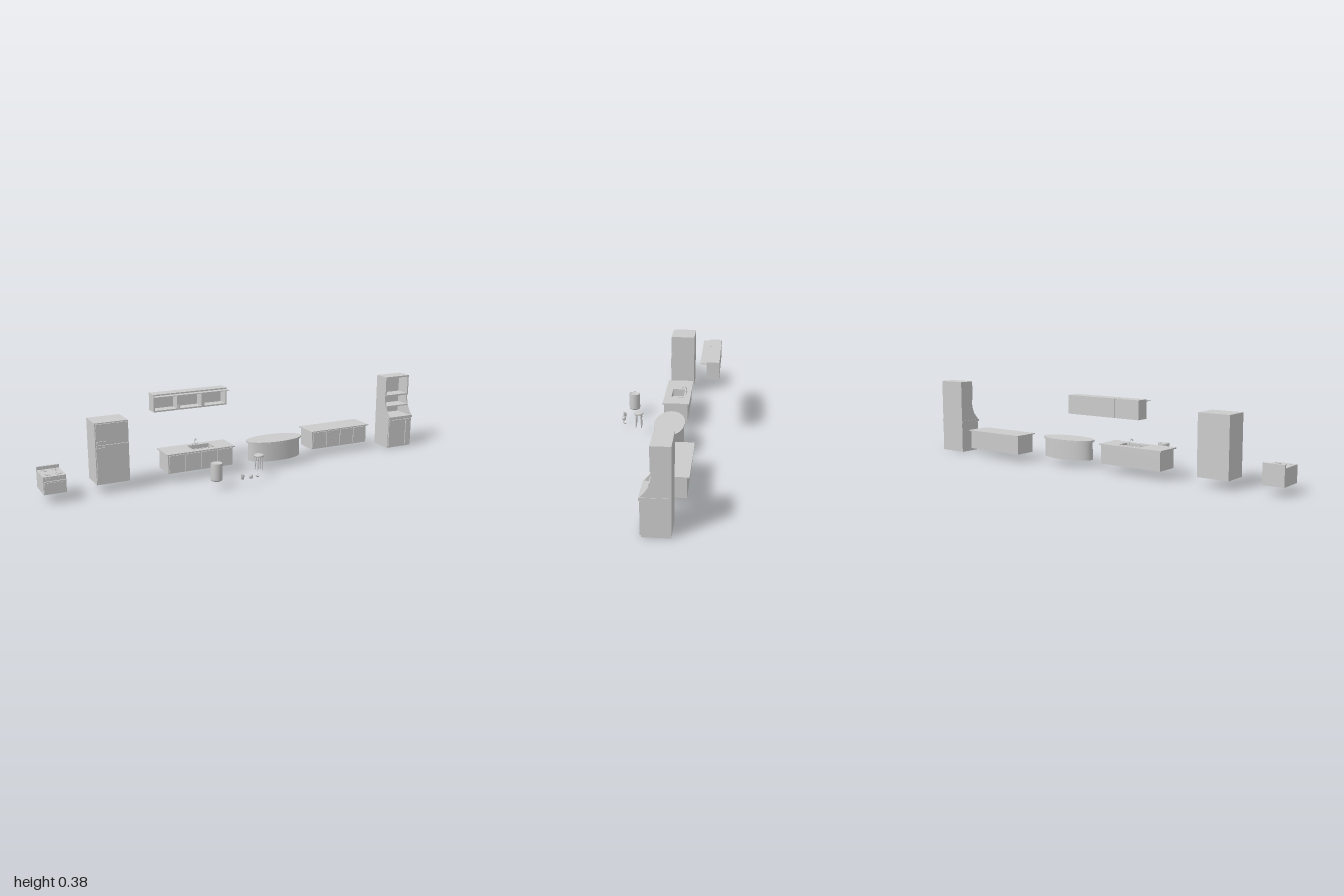
import * as THREE from 'three';

const mat = new THREE.MeshStandardMaterial({ color: 0xcccccc, side: THREE.DoubleSide });

function add(parent, name, geo, x = 0, y = 0, z = 0) {
  const m = new THREE.Mesh(geo, mat);
  m.name = name;
  m.position.set(x, y, z);
  parent.add(m);
  return m;
}
// Box given by its minimum and maximum on each axis
function box(parent, name, x0, x1, y0, y1, z0, z1) {
  return add(parent, name, new THREE.BoxGeometry(x1 - x0, y1 - y0, z1 - z0),
    (x0 + x1) / 2, (y0 + y1) / 2, (z0 + z1) / 2);
}
const cyl = (r0, r1, h, n = 24) => new THREE.CylinderGeometry(r0, r1, h, n);
const lathe = (pts, n = 24) => new THREE.LatheGeometry(pts.map(p => new THREE.Vector2(...p)), n);
function section(parent, name) {
  const g = new THREE.Group();
  g.name = name;
  parent.add(g);
  return g;
}
// Horizontal slab with a rectangular hole
function slabWithHole(parent, name, o, y0, y1, h) {
  const corners = ([x0, x1, z0, z1]) => [[x0, -z1], [x1, -z1], [x1, -z0], [x0, -z0]].map(p => new THREE.Vector2(...p));
  const s = new THREE.Shape(corners(o));
  s.holes.push(new THREE.Path(corners(h).reverse()));
  const geo = new THREE.ExtrudeGeometry(s, { depth: y1 - y0, bevelEnabled: false });
  geo.rotateX(-Math.PI / 2);
  return add(parent, name, geo, 0, y0, 0);
}
// Row of doors, each with a small round knob
function doorRow(parent, x0, x1, y0, y1, z, n) {
  const w = (x1 - x0) / n;
  for (let i = 0; i < n; i++) {
    const a = x0 + i * w + 0.003, b = a + w - 0.006;
    box(parent, 'cabinetDoor', a, b, y0, y1, z, z + 0.005);
    add(parent, 'doorKnob', new THREE.SphereGeometry(0.002, 10, 8), i % 2 ? a + 0.007 : b - 0.007, y1 - 0.01, z + 0.006);
  }
}

function stove(root) {
  const g = section(root, 'stove');
  box(g, 'stoveBody', -1, -0.9, 0.04, 0.12, -0.065, 0.06);
  box(g, 'backGuard', -1, -0.9, 0.12, 0.135, -0.065, -0.056);
  box(g, 'ovenDoor', -0.997, -0.903, 0.043, 0.1, 0.06, 0.067);
  box(g, 'ovenHandle', -0.985, -0.915, 0.092, 0.095, 0.067, 0.07);
  for (const x of [-0.985, -0.97, -0.93, -0.915])
    add(g, 'stoveKnob', cyl(0.004, 0.004, 0.004, 12).rotateX(Math.PI / 2), x, 0.112, 0.062);
  for (const x of [-0.974, -0.926]) for (const z of [-0.03, 0.03]) {
    add(g, 'burnerRing', new THREE.TorusGeometry(0.012, 0.0015, 6, 20).rotateX(Math.PI / 2), x, 0.1205, z);
    add(g, 'burnerCap', cyl(0.005, 0.006, 0.003, 14), x, 0.121, z);
  }
}

function refrigerator(root) {
  const g = section(root, 'refrigerator');
  box(g, 'refrigeratorBody', -0.757, -0.602, 0.04, 0.324, -0.088, 0.033);
  for (const [y0, y1, yh] of [[0.047, 0.222, 0.208], [0.228, 0.319, 0.237]]) {
    box(g, 'refrigeratorDoor', -0.753, -0.606, y0, y1, 0.033, 0.039);
    box(g, 'refrigeratorHandle', -0.75, -0.71, yh - 0.003, yh + 0.004, 0.039, 0.044);
  }
}

function wallCabinet(root) {
  const g = section(root, 'wallCabinet');
  const w = 0.13, t = 0.007;
  for (let i = 0; i < 3; i++) {
    const a = -0.399 + i * w, b = a + w - 0.001;
    box(g, 'cabinetBack', a, b, 0.289, 0.375, -0.243, -0.237);
    box(g, 'cabinetTop', a, b, 0.368, 0.375, -0.237, -0.181);
    box(g, 'cabinetBottom', a, b, 0.289, 0.296, -0.237, -0.181);
    box(g, 'cabinetSide', a, a + t, 0.296, 0.368, -0.237, -0.181);
    box(g, 'cabinetSide', b - t, b, 0.296, 0.368, -0.237, -0.181);
    // Door raised flat
    box(g, 'raisedDoor', a, b, 0.3655, 0.3685, -0.181, -0.151);
  }
}

function sinkCounter(root) {
  const g = section(root, 'sinkCounter');
  const hole = [-0.278, -0.168, -0.062, 0];
  box(g, 'counterBase', -0.412, -0.08, 0.04, 0.1, -0.088, 0.024);
  slabWithHole(g, 'counterUpper', [-0.412, -0.08, -0.088, 0.024], 0.1, 0.13, hole);
  slabWithHole(g, 'countertop', [-0.42, -0.072, -0.096, 0.036], 0.13, 0.136, hole);
  slabWithHole(g, 'sinkRim', [-0.283, -0.163, -0.067, 0.005], 0.136, 0.1375, hole);
  add(g, 'sinkDrain', cyl(0.006, 0.006, 0.002, 16), -0.223, 0.101, -0.031);
  doorRow(g, -0.41, -0.082, 0.046, 0.126, 0.024, 4);
  const path = new THREE.CatmullRomCurve3([[0.136, -0.072], [0.158, -0.072], [0.168, -0.064], [0.166, -0.052], [0.158, -0.047]]
    .map(([y, z]) => new THREE.Vector3(-0.234, y, z)));
  add(g, 'faucet', new THREE.TubeGeometry(path, 20, 0.002, 8), 0, 0, 0);
  for (const x of [-0.246, -0.222]) add(g, 'tapHandle', cyl(0.002, 0.003, 0.008, 10), x, 0.14, -0.072);
}

function ovalIsland(root) {
  const g = section(root, 'ovalIsland');
  const cx = 0.173, cz = -0.021;
  // Hollow skirt under a slightly wider top
  const skirt = add(g, 'islandBody', new THREE.CylinderGeometry(1, 1, 0.088, 64, 1, true), cx, 0.078, cz);
  skirt.scale.set(0.142, 1, 0.067);
  const top = add(g, 'islandTop', cyl(1, 1, 0.007, 64), cx, 0.1285, cz);
  top.scale.set(0.151, 1, 0.072);
  const trim = add(g, 'islandTrim', cyl(1, 1, 0.004, 64), cx, 0.122, cz);
  trim.scale.set(0.146, 1, 0.069);
}

function longCounter(root) {
  const g = section(root, 'longCounter');
  box(g, 'counterBody', 0.404, 0.738, 0.038, 0.13, -0.143, -0.033);
  box(g, 'countertop', 0.396, 0.746, 0.13, 0.135, -0.153, -0.021);
  doorRow(g, 0.406, 0.736, 0.044, 0.126, -0.033, 4);
}

function hutch(root) {
  const g = section(root, 'hutch');
  const x0 = 0.85, x1 = 0.998, t = 0.007;
  // Side panel with the curved front edge
  const s = new THREE.Shape();
  s.moveTo(-0.102, 0.165);
  s.lineTo(0.018, 0.165);
  s.bezierCurveTo(0.005, 0.19, -0.026, 0.2, -0.026, 0.275);
  s.lineTo(-0.021, 0.275);
  s.lineTo(-0.021, 0.378);
  s.lineTo(-0.102, 0.378);
  const geo = new THREE.ExtrudeGeometry(s, { depth: t, bevelEnabled: false, curveSegments: 14 });
  geo.rotateY(-Math.PI / 2);
  for (const x of [x0 + t, x1]) add(g, 'hutchSide', geo.clone(), x, 0, 0);
  // Extruded outline runs toward -x with z taken from the profile
  box(g, 'hutchBack', x0, x1, 0.165, 0.378, -0.102, -0.095);
  box(g, 'hutchTop', x0 + t, x1 - t, 0.37, 0.378, -0.095, -0.021);
  box(g, 'upperShelf', x0 + t, x1 - t, 0.272, 0.28, -0.095, -0.022);
  box(g, 'middleShelf', x0 + t, x1 - t, 0.216, 0.222, -0.095, -0.015);
  // Lower cabinet
  box(g, 'hutchBase', x0, x1, 0, 0.157, -0.102, 0.013);
  box(g, 'hutchCounter', x0 - 0.002, x1 + 0.002, 0.155, 0.168, -0.102, 0.022);
  box(g, 'hutchDoor', x0 + 0.003, x0 + 0.108, 0.008, 0.15, 0.013, 0.019);
  box(g, 'hutchDoor', x0 + 0.112, x1 - 0.003, 0.008, 0.15, 0.013, 0.019);
}

function trashCan(root) {
  const g = section(root, 'trashCan');
  add(g, 'canBody', lathe([[0, 0.035], [0.022, 0.035], [0.026, 0.038], [0.0275, 0.043], [0.0275, 0.118],
    [0.025, 0.118], [0.024, 0.115], [0, 0.115]], 32), -0.246, 0, 0.198);
}

function stool(root) {
  const g = section(root, 'stool');
  g.position.set(0, 0, 0.146);
  add(g, 'stoolSeat', lathe([[0, 0.102], [0.021, 0.102], [0.0235, 0.105], [0.0235, 0.109], [0.021, 0.112], [0, 0.112]]));
  // Four turned legs, splayed slightly
  for (let i = 0; i < 4; i++) {
    const a = Math.PI / 4 + i * Math.PI / 2;
    const pivot = section(g, 'stoolLeg');
    pivot.rotation.y = a;
    const leg = add(pivot, 'turnedLeg', lathe([[0, 0], [0.002, 0], [0.0025, 0.02], [0.004, 0.03], [0.0025, 0.036],
      [0.004, 0.05], [0.003, 0.068], [0, 0.068]], 12), 0.019, 0.036, 0);
    leg.rotation.z = 0.06;
  }
}

function tableware(root) {
  const g = section(root, 'tableware');
  add(g, 'mug', lathe([[0, 0.035], [0.007, 0.035], [0.008, 0.054], [0.007, 0.054], [0.006, 0.038], [0, 0.038]], 20), -0.132, 0, 0.235);
  add(g, 'roundJar', lathe([[0, 0.031], [0.006, 0.032], [0.01, 0.038], [0.01, 0.044], [0.007, 0.05], [0.006, 0.05], [0, 0.047]], 20), -0.088, 0, 0.233);
  add(g, 'saucer', lathe([[0, 0.031], [0.005, 0.031], [0.01, 0.037], [0.009, 0.037], [0.005, 0.033], [0, 0.033]], 20), -0.047, 0, 0.222);
}

export function createModel() {
  const root = new THREE.Group();
  root.name = 'kitchenSet';
  for (const build of [stove, refrigerator, wallCabinet, sinkCounter, ovalIsland, longCounter, hutch, trashCan, stool, tableware])
    build(root);
  return root;
}
